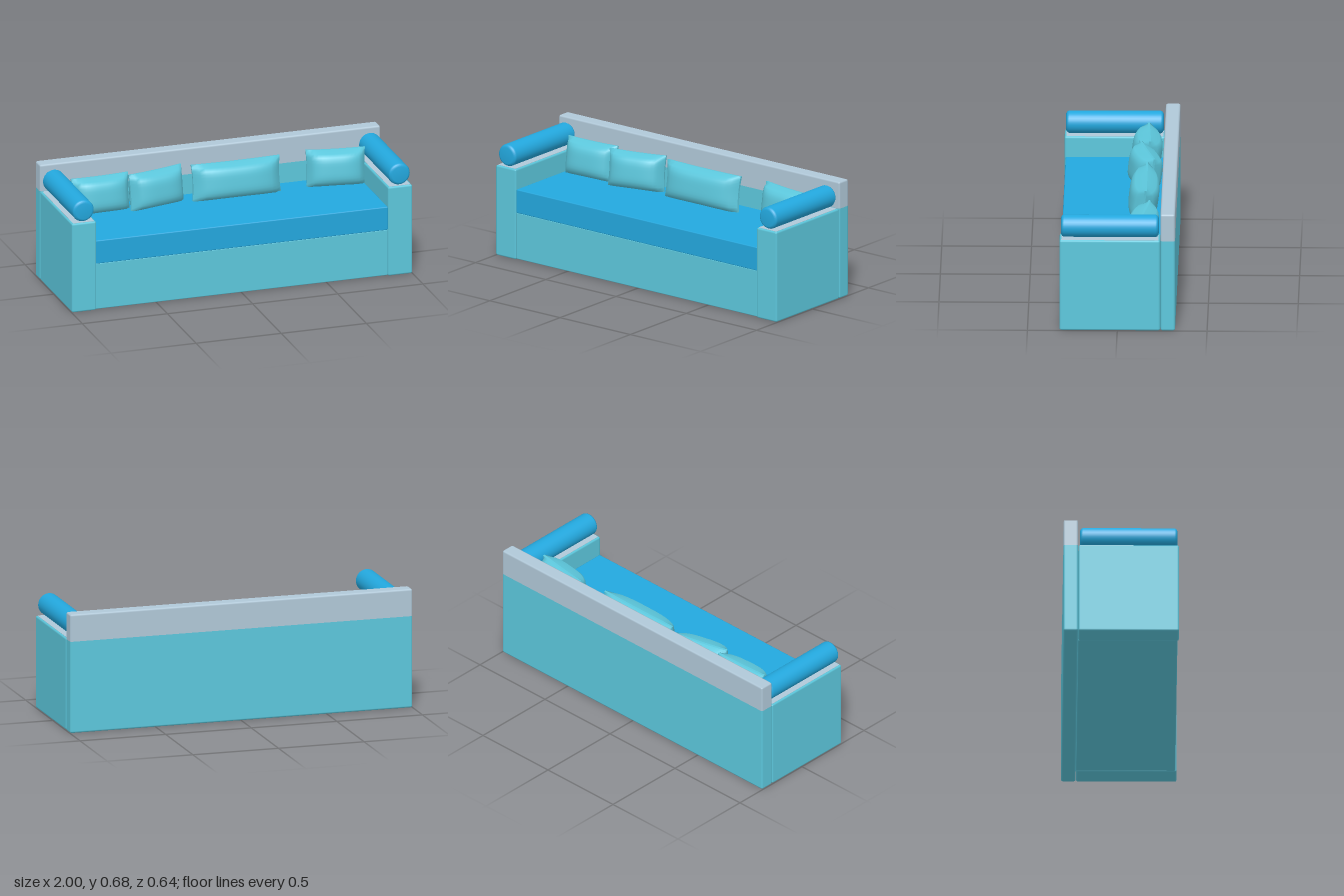
import * as THREE from 'three';
import { RoundedBoxGeometry } from 'three/addons/geometries/RoundedBoxGeometry.js';

const material = (name, color) => new THREE.MeshStandardMaterial({ name, color });

export function createModel() {
  const sofa = new THREE.Group();
  sofa.name = 'sofa';
  const teal = material('teal fabric', 0x5cc7dc);
  const blue = material('blue fabric', 0x23a8de);
  const grey = material('pale grey fabric', 0xb0c8d8);

  const add = (name, geometry, mat) => {
    const mesh = new THREE.Mesh(geometry, mat);
    mesh.name = name;
    sofa.add(mesh);
    return mesh;
  };

  // Chamfered block given by its lower and upper corners
  const block = (x0, y0, z0, x1, y1, z1, bevel = 0.011) =>
    new RoundedBoxGeometry(x1 - x0, y1 - y0, z1 - z0, 1, bevel)
      .translate((x0 + x1) / 2, (y0 + y1) / 2, (z0 + z1) / 2);

  // Keep only the part of a block between two heights
  const slice = (geometry, low, high) => {
    const p = geometry.attributes.position;
    for (let i = 0; i < p.count; i++) p.setY(i, THREE.MathUtils.clamp(p.getY(i), low, high));
    return geometry;
  };

  // Backrest in two colours
  const back = () => block(-1, 0, -0.322, 1, 0.68, -0.24);
  add('backrestLower', slice(back(), 0, 0.525), teal);
  add('backrestUpper', slice(back(), 0.525, 0.68), grey);

  // Base and seat
  add('base', block(-0.858, 0.003, -0.24, 0.858, 0.275, 0.314, 0.006), teal);
  add('seatCushion', block(-0.858, 0.272, -0.24, 0.858, 0.41, 0.316, 0.006), blue);

  // Arm roll: a cylinder with chamfered ends, lying along z
  const rollProfile = [[0, -0.272], [0.046, -0.272], [0.058, -0.265], [0.063, -0.255],
    [0.063, 0.255], [0.058, 0.265], [0.046, 0.272], [0, 0.272]]
    .map(([r, y]) => new THREE.Vector2(r, y));

  for (const side of [-1, 1]) {
    const label = side > 0 ? 'left' : 'right';
    const x = side * 0.928;
    add(label + 'Arm', block(x - 0.072, 0, -0.239, x + 0.072, 0.527, 0.322), teal);
    add(label + 'ArmTop', new THREE.BoxGeometry(0.124, 0.003, 0.541).translate(x, 0.5265, 0.0415), grey);
    const roll = add(label + 'ArmRoll', new THREE.LatheGeometry(rollProfile, 32), blue);
    roll.rotation.x = Math.PI / 2;
    roll.position.set(x, 0.592, 0.042);
  }

  // Stuffed pillow: thick in the middle, pinched towards its edges
  const pillow = (width, height, depth) => {
    const geometry = new THREE.BoxGeometry(width, height, 1, 16, 12, 1);
    const p = geometry.attributes.position;
    for (let i = 0; i < p.count; i++) {
      const u = (2 * p.getX(i)) / width;
      const v = (2 * p.getY(i)) / height;
      const puff = Math.pow(Math.max(0, (1 - Math.abs(u) ** 3) * (1 - v ** 4)), 0.55);
      p.setXYZ(i,
        p.getX(i) * (1 - 0.03 * (1 - v * v)),
        p.getY(i) * (1 - 0.03 * (1 - u * u)),
        Math.sign(p.getZ(i)) * (0.006 + (depth / 2 - 0.006) * puff));
    }
    geometry.computeVertexNormals();
    return geometry;
  };

  // x, z, width, turn
  const pillows = [
    [-0.68, -0.14, 0.34, 0.04],
    [-0.355, -0.135, 0.345, 0.24],
    [0.115, -0.135, 0.52, 0],
    [0.7, -0.135, 0.335, -0.15],
  ];
  pillows.forEach(([x, z, width, turn], i) => {
    const mesh = add('pillow' + (i + 1), pillow(width, 0.215, 0.165), teal);
    mesh.position.set(x, 0.507, z);
    mesh.rotation.set(-0.13, turn, 0, 'YXZ');
  });

  return sofa;
}
